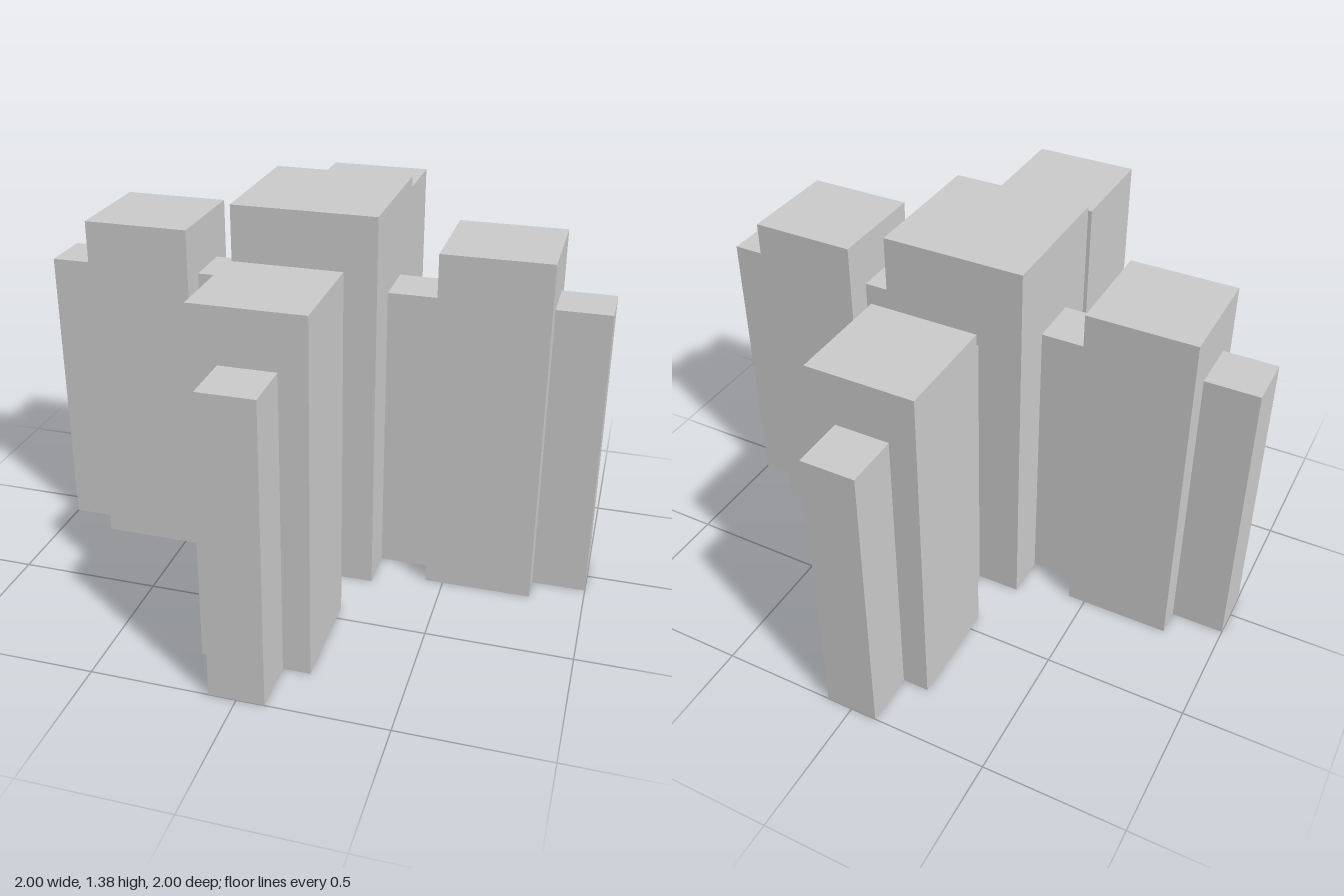
import * as THREE from 'three';

const material = new THREE.MeshStandardMaterial({ color: 0xcccccc, flatShading: true });

// Box standing on the ground, spanning z0..z1 and centred on x
function block(name, width, height, z0, z1) {
  const geometry = new THREE.BoxGeometry(width, height, z1 - z0);
  geometry.translate(0, height / 2, (z0 + z1) / 2);
  const mesh = new THREE.Mesh(geometry, material);
  mesh.name = name;
  return mesh;
}

export function createModel() {
  const model = new THREE.Group();
  model.name = 'crossShapedBuilding';

  // Tallest block in the middle
  model.add(block('centralTower', 0.5, 1.375, -0.25, 0.25));

  // Four equal wings, each a link, a tower and an end block
  ['frontWing', 'leftWing', 'backWing', 'rightWing'].forEach((name, i) => {
    const wing = new THREE.Group();
    wing.name = name;
    wing.add(
      block('link', 0.1875, 1.0625, 0.25, 0.4375),
      block('wingTower', 0.375, 1.25, 0.4375, 0.8125),
      block('endBlock', 0.1875, 1.0625, 0.8125, 1)
    );
    wing.rotation.y = i * Math.PI / 2;
    model.add(wing);
  });

  return model;
}
